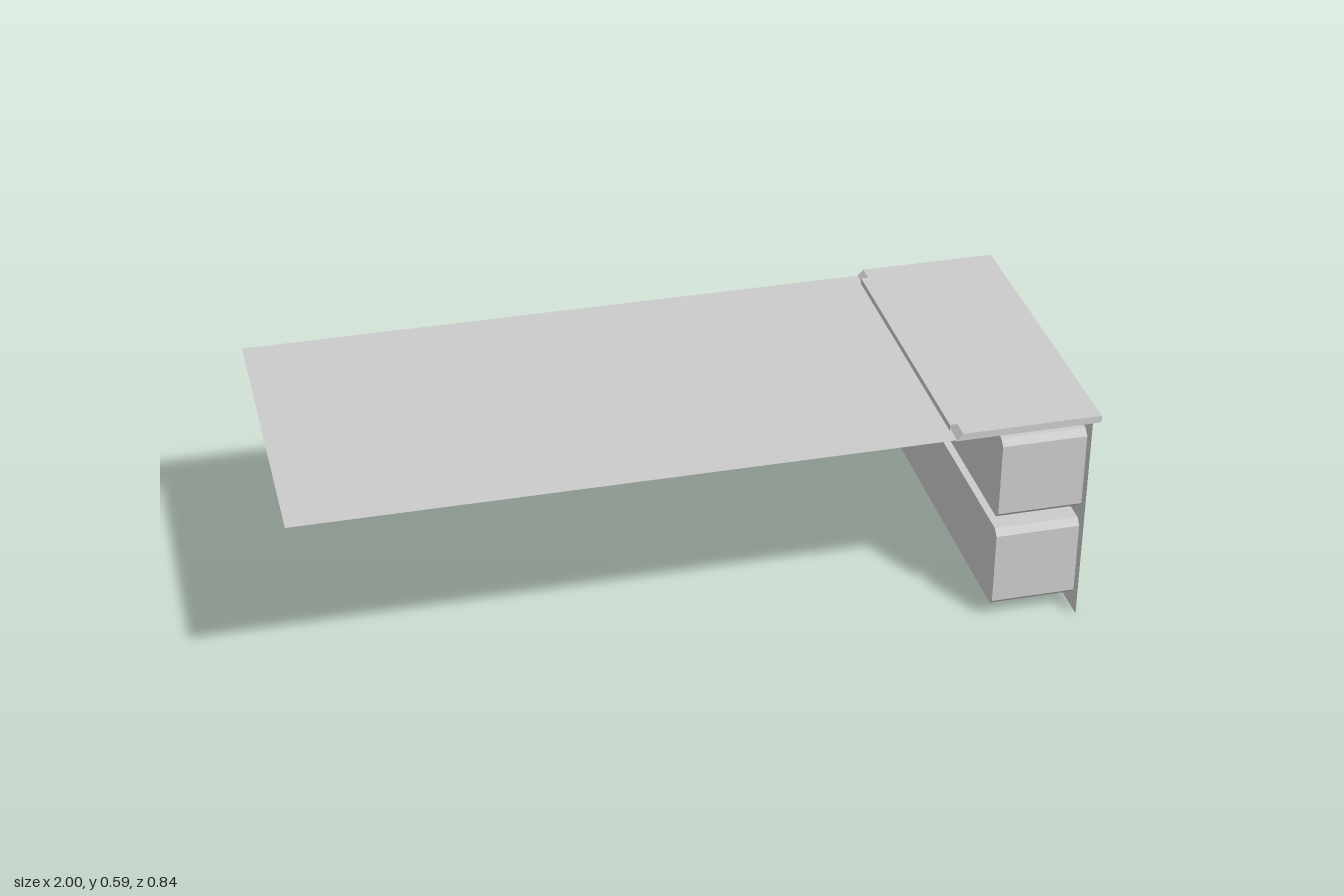
import * as THREE from 'three';

const material = new THREE.MeshStandardMaterial({ color: 0xcccccc, flatShading: true, side: THREE.DoubleSide });

const HALF_DEPTH = 0.42;
const TOP = 0.588, RIM = 0.569;
const PANEL_X = 0.978, POCKET_BACK = 0.76;
const POCKETS = [[0.04, 0.267], [0.303, 0.532]];

function add(group, geometry, name) {
  const mesh = new THREE.Mesh(geometry, material);
  mesh.name = name;
  group.add(mesh);
  return mesh;
}

// Chamfered rectangle outline of a pocket, in (across, up)
function pocketOutline([y0, y1], c = 0.016, w = 0.393) {
  return [
    [-w + c, y0], [w - c, y0], [w, y0 + c], [w, y1 - c],
    [w - c, y1], [-w + c, y1], [-w, y1 - c], [-w, y0 + c],
  ].map(([a, b]) => new THREE.Vector2(a, b));
}

// Flat XY shape turned to face +x at a given x
function facingRight(shape, x) {
  return new THREE.ShapeGeometry(shape).rotateY(Math.PI / 2).translate(x, 0, 0);
}

// Skin between closed loops of equal length
function loft(loops) {
  const n = loops[0].length, index = [];
  for (let r = 0; r < loops.length - 1; r++) {
    for (let i = 0; i < n; i++) {
      const a = r * n + i, b = r * n + (i + 1) % n;
      index.push(a, b, a + n, b, b + n, a + n);
    }
  }
  const geometry = new THREE.BufferGeometry();
  geometry.setAttribute('position', new THREE.Float32BufferAttribute(loops.flat(2), 3));
  geometry.setIndex(index);
  const flat = geometry.toNonIndexed();
  flat.computeVertexNormals();
  return flat;
}

// Level rectangle
function sheet(x0, x1, halfDepth, y) {
  return new THREE.PlaneGeometry(x1 - x0, 2 * halfDepth)
    .rotateX(-Math.PI / 2).translate((x0 + x1) / 2, y, 0);
}

// Rectangular loop at one height
const ring = (x0, x1, d, y) => [[x0, y, d], [x1, y, d], [x1, y, -d], [x0, y, -d]];

export function createModel() {
  const model = new THREE.Group();
  model.name = 'storageUnit';

  // Long thin sheet
  add(model, sheet(-1, 0.63, HALF_DEPTH, 0.572), 'longSheet');

  // Shallow hollow lid with a sloped inner edge
  const lid = new THREE.Group();
  lid.name = 'lid';
  add(lid, loft([ring(0.628, 1, HALF_DEPTH, RIM), ring(0.645, 1, HALF_DEPTH, TOP)]), 'lidRim');
  add(lid, sheet(0.645, 1, HALF_DEPTH, TOP), 'lidTop');
  // Slightly raised centre strip, folded down at the inner edge
  add(lid, sheet(0.626, 0.97, 0.375, TOP + 0.0007), 'lidCentre');
  const fold = new THREE.PlaneGeometry(0.75, TOP - RIM)
    .rotateY(-Math.PI / 2).translate(0.626, (TOP + RIM) / 2, 0);
  add(lid, fold, 'lidFold');
  model.add(lid);

  // Upright panel with two pocket openings
  const panel = new THREE.Shape([
    [-HALF_DEPTH, 0], [HALF_DEPTH, 0], [HALF_DEPTH, RIM], [-HALF_DEPTH, RIM],
  ].map(([a, b]) => new THREE.Vector2(a, b)));
  for (const span of POCKETS) panel.holes.push(new THREE.Path(pocketOutline(span)));
  add(model, facingRight(panel, PANEL_X), 'sidePanel');

  // Recessed pockets behind the openings
  POCKETS.forEach((span, i) => {
    const pocket = new THREE.Group();
    pocket.name = i ? 'upperPocket' : 'lowerPocket';
    const outline = pocketOutline(span);
    const loopAt = x => outline.map(p => [x, p.y, -p.x]);
    add(pocket, loft([loopAt(POCKET_BACK), loopAt(PANEL_X)]), 'pocketWalls');
    add(pocket, facingRight(new THREE.Shape(outline), POCKET_BACK), 'pocketBack');
    model.add(pocket);
  });

  return model;
}
